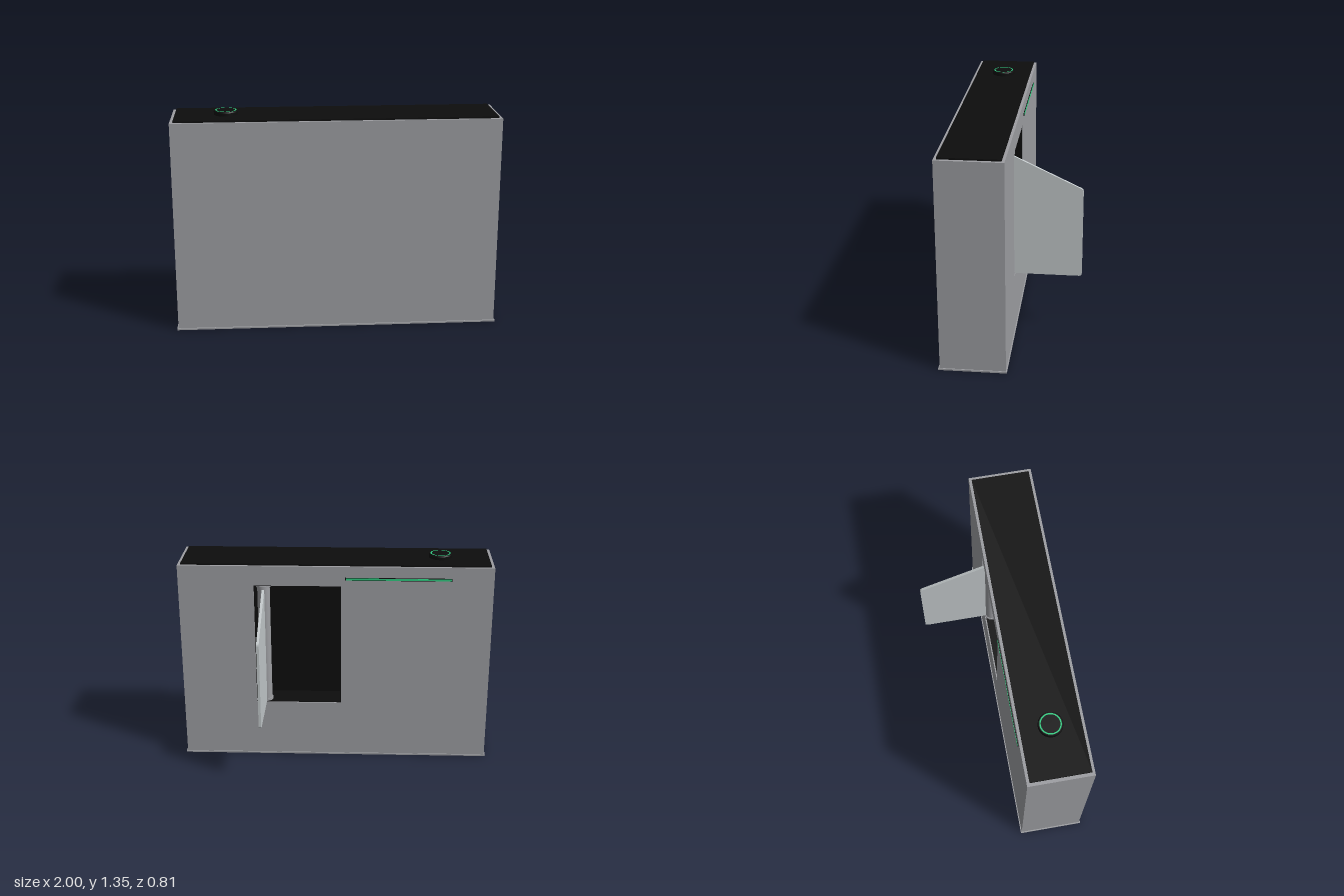
import * as THREE from 'three';

const paint = (name, color) => {
  const m = new THREE.MeshStandardMaterial({ color });
  m.name = name;
  return m;
};

export function createModel() {
  const model = new THREE.Group();
  const steel = paint('brushed steel', 0x9c9da1);
  const black = paint('gloss black', 0x0d0d0d);
  const green = paint('signal green', 0x2ecc80);
  const glass = paint('pale glass', 0xc2c8ca);

  const add = (name, geometry, material, x = 0, y = 0, z = 0) => {
    const mesh = new THREE.Mesh(geometry, material);
    mesh.name = name;
    mesh.position.set(x, y, z);
    model.add(mesh);
    return mesh;
  };
  // box given by its min and max corners
  const block = (name, material, [x0, y0, z0], [x1, y1, z1]) =>
    add(name, new THREE.BoxGeometry(x1 - x0, y1 - y0, z1 - z0), material,
      (x0 + x1) / 2, (y0 + y1) / 2, (z0 + z1) / 2);

  // Cabinet with the gate opening cut through its back wall
  const W = 0.993, top = 1.316, back = 0.005, front = 0.397;
  const L = -0.037, R = 0.515, B = 0.378, T = 1.188;
  const wall = new THREE.Shape([[-W, 0.01], [W, 0.01], [W, top], [-W, top]]
    .map(p => new THREE.Vector2(...p)));
  wall.holes.push(new THREE.Path([[L, B], [L, T], [R, T], [R, B]]
    .map(p => new THREE.Vector2(...p))));
  add('cabinet', new THREE.ExtrudeGeometry(wall, { depth: front - back - 0.01, bevelEnabled: false }),
    steel, 0, 0, back);
  block('frontPanel', steel, [-W, 0.01, front - 0.01], [W, top, front]);
  block('plinth', steel, [-1, 0, -0.001], [1, 0.01, 0.405]);

  // Black lining of the opening
  const t = 0.005, z0 = 0.013, z1 = 0.18;
  block('recessFloor', black, [L, B, z0], [R, B + t, z1]);
  block('recessCeiling', black, [L, T - t, z0], [R, T, z1]);
  block('recessRightWall', black, [L, B, z0], [L + t, T, z1]);
  block('recessLeftWall', black, [R - t, B, z0], [R, T, z1]);
  block('recessBack', black, [L, B, z1 - t], [R, T, z1]);

  // Hinge column with end collars
  const hx = 0.457, hz = 0.052;
  add('hingeColumn', new THREE.CylinderGeometry(0.04, 0.04, T - B - 0.012, 32), steel, hx, (T + B) / 2, hz);
  for (const y of [B + 0.014, T - 0.014])
    add('hingeCollar', new THREE.CylinderGeometry(0.046, 0.046, 0.016, 32), steel, hx, y, hz);

  // Swing panel, drawn as (distance behind, height), with rounded outer corners
  const panel = new THREE.Shape();
  panel.moveTo(-0.05, 0.387);
  panel.lineTo(0.385, 0.387);
  panel.quadraticCurveTo(0.405, 0.387, 0.405, 0.407);
  panel.lineTo(0.405, 0.942);
  panel.quadraticCurveTo(0.405, 0.957, 0.391, 0.964);
  panel.lineTo(-0.05, 1.174);
  const panelGeo = new THREE.ExtrudeGeometry(panel, { depth: 0.016, bevelEnabled: false, curveSegments: 6 });
  panelGeo.rotateY(Math.PI / 2);
  add('swingPanel', panelGeo, glass, hx - 0.008, 0, 0);

  // Status light on the back wall
  block('lightBezel', black, [-0.73, 1.228, 0.001], [-0.062, 1.246, 0.006]);
  block('lightStrip', green, [-0.726, 1.231, -0.001], [-0.066, 1.243, 0.005]);

  // Lid and round reader
  block('lid', black, [-0.973, top - 0.004, 0.022], [0.973, 1.326, 0.38]);
  const rx = -0.664, rz = 0.2;
  add('readerBase', new THREE.CylinderGeometry(0.073, 0.073, 0.02, 48), black, rx, 1.335, rz);
  add('readerTop', new THREE.CylinderGeometry(0.069, 0.073, 0.006, 48), black, rx, 1.348, rz);
  const ring = add('readerRing', new THREE.RingGeometry(0.056, 0.064, 48), green, rx, 1.352, rz);
  ring.rotation.x = -Math.PI / 2;

  return model;
}
